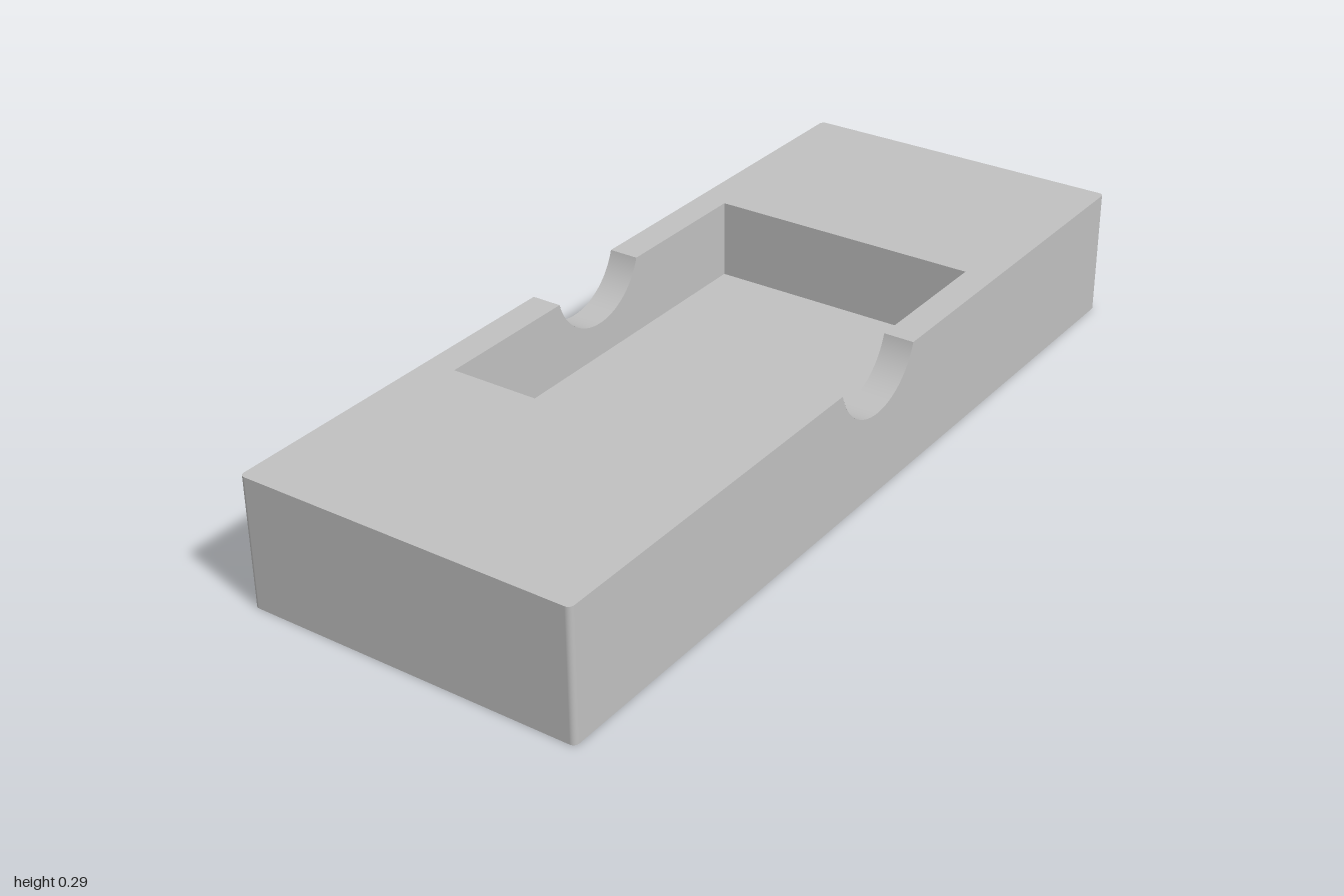
import * as THREE from 'three';

const W = 0.378, L = 1, H = 0.288;           // outer half width, half length, height
const PW = 0.31, PL = 0.474, FLOOR = 0.11;   // pocket half width, half length, floor height
const R = 0.012;                             // rounding of the vertical corners
const NR = 0.141, NY = 0.328;                // finger notch radius and centre height
const NA = Math.acos((NY - H) / NR);         // half angle of the notch arc
const NZ = NR * Math.sin(NA);                // half width of the notch at the rim
const SEG = 32, Q = Math.PI / 2;

// upright wall with a finger notch cut in its upper edge
function notchedWall(half, bottom) {
  const s = new THREE.Shape();
  s.moveTo(-half, bottom);
  s.lineTo(half, bottom);
  s.lineTo(half, H);
  s.lineTo(NZ, H);
  s.absarc(0, NY, NR, -Q + NA, -Q - NA, true);
  s.lineTo(-half, H);
  s.closePath();
  return s;
}

function plainWall(half, bottom) {
  const s = new THREE.Shape();
  s.moveTo(-half, bottom);
  s.lineTo(half, bottom);
  s.lineTo(half, H);
  s.lineTo(-half, H);
  s.closePath();
  return s;
}

// rim around one half of the pocket, ending at the notches
function halfRim() {
  const s = new THREE.Shape();
  s.moveTo(W, NZ);
  s.lineTo(W, L - R);
  s.absarc(W - R, L - R, R, 0, Q);
  s.absarc(-W + R, L - R, R, Q, 2 * Q);
  s.lineTo(-W, NZ);
  s.lineTo(-PW, NZ);
  s.lineTo(-PW, PL);
  s.lineTo(PW, PL);
  s.lineTo(PW, NZ);
  s.closePath();
  return s;
}

function roundedPlan() {
  const s = new THREE.Shape();
  s.absarc(W - R, L - R, R, 0, Q);
  s.absarc(-W + R, L - R, R, Q, 2 * Q);
  s.absarc(-W + R, -L + R, R, 2 * Q, 3 * Q);
  s.absarc(W - R, -L + R, R, 3 * Q, 4 * Q);
  s.closePath();
  return s;
}

export function createModel() {
  const model = new THREE.Group();
  model.name = 'pocketBlock';
  const grey = new THREE.MeshStandardMaterial({ color: 0xc0c0c0, side: THREE.DoubleSide });
  grey.name = 'grey';

  function add(name, geometry, position = [0, 0, 0], rotation = [0, 0, 0]) {
    const mesh = new THREE.Mesh(geometry, grey);
    mesh.name = name;
    mesh.position.set(...position);
    mesh.rotation.set(...rotation);
    model.add(mesh);
  }
  const face = (shape) => new THREE.ShapeGeometry(shape, SEG);

  // underside and pocket floor
  add('underside', face(roundedPlan()), [0, 0, 0], [Q, 0, 0]);
  add('pocketFloor', new THREE.PlaneGeometry(2 * PW, 2 * PL), [0, FLOOR, 0], [-Q, 0, 0]);

  // top rim, back and front halves
  add('backRim', face(halfRim()), [0, H, 0], [-Q, 0, 0]);
  add('frontRim', face(halfRim()), [0, H, 0], [-Q, 0, Math.PI]);

  for (const [side, label] of [[1, 'left'], [-1, 'right']]) {
    // notched long walls, outside and inside
    add(label + 'OuterWall', face(notchedWall(L - R, 0)), [side * W, 0, 0], [0, side * Q, 0]);
    add(label + 'PocketWall', face(notchedWall(PL, FLOOR)), [side * PW, 0, 0], [0, -side * Q, 0]);

    // curved notch surface, turned to face its hollow side
    const notch = new THREE.CylinderGeometry(NR, NR, W - PW, SEG, 1, true, 3 * Q - NA, 2 * NA);
    notch.rotateZ(Q);
    notch.index.array.reverse();
    notch.attributes.normal.array.forEach((v, i, a) => { a[i] = -v; });
    add(label + 'FingerNotch', notch, [side * (W + PW) / 2, NY, 0]);
  }

  for (const [end, label] of [[1, 'front'], [-1, 'back']]) {
    // end walls, outside and inside
    add(label + 'OuterWall', face(plainWall(W - R, 0)), [0, 0, end * L], [0, end > 0 ? 0 : Math.PI, 0]);
    add(label + 'PocketWall', face(plainWall(PW, FLOOR)), [0, 0, end * PL], [0, end > 0 ? Math.PI : 0, 0]);
  }

  // rounded vertical corners
  [[1, 1], [1, -1], [-1, -1], [-1, 1]].forEach(([x, z], k) => {
    add('roundedCorner', new THREE.CylinderGeometry(R, R, H, 8, 1, true, k * Q, Q),
      [x * (W - R), H / 2, z * (L - R)]);
  });

  return model;
}
